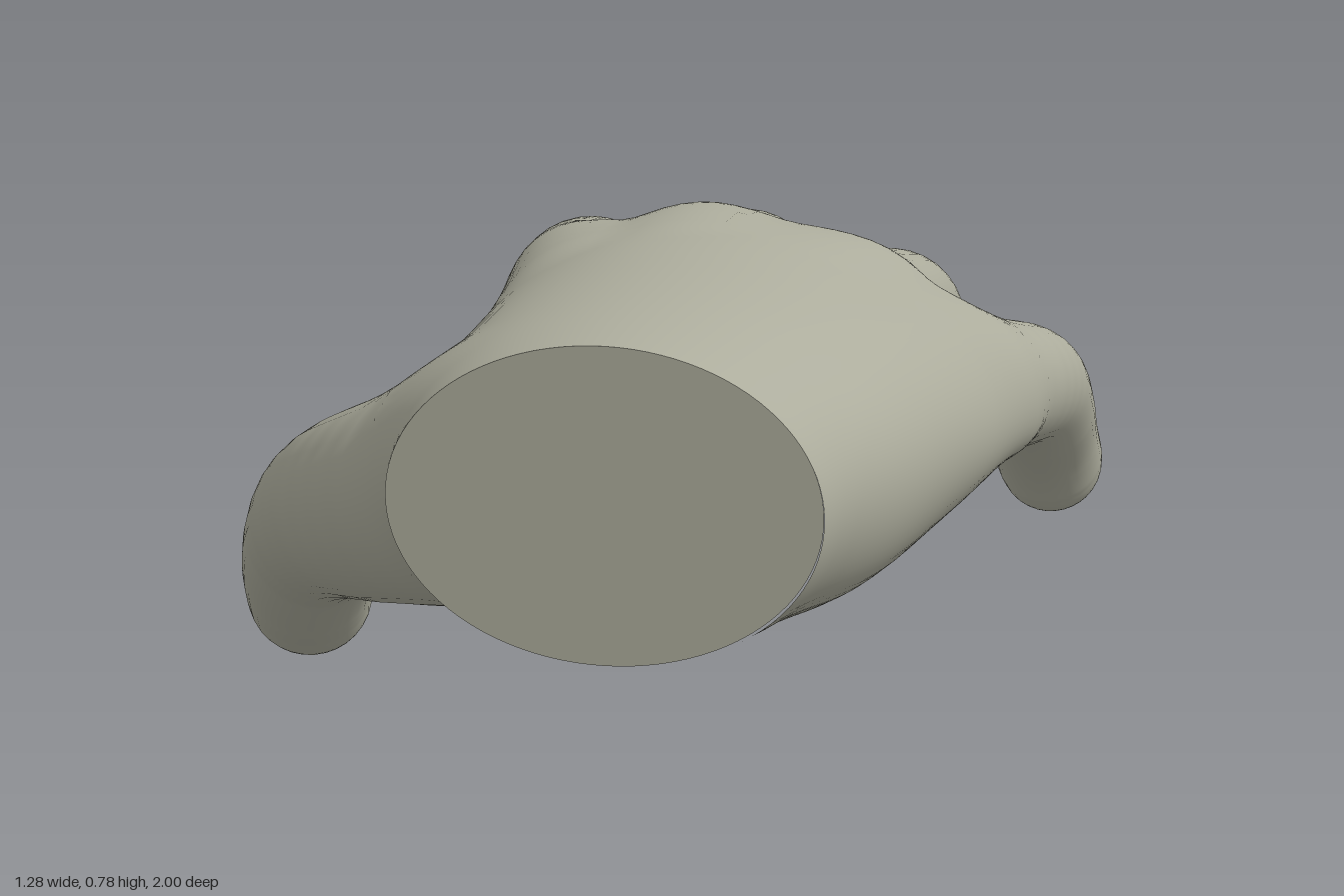
import * as THREE from 'three';

const skin = new THREE.MeshStandardMaterial({ color: 0xadad9d });

// Catmull-Rom through rows of numbers, t from 0 to 1
function spline(keys, t) {
  const last = keys.length - 1;
  const i = Math.min(Math.floor(t * last), last - 1);
  const f = t * last - i;
  const b = keys[i], c = keys[i + 1];
  const a = keys[i - 1] || b.map((v, k) => 2 * v - c[k]);
  const d = keys[i + 2] || c.map((v, k) => 2 * v - b[k]);
  return b.map((v, k) => v + 0.5 * f * (c[k] - a[k]
    + f * (2 * a[k] - 5 * v + 4 * c[k] - d[k]
    + f * (3 * (v - c[k]) + d[k] - a[k]))));
}

// Palm sections every 0.2 from z = 1: [centre x, half width, centre y, half height, arch]
const palmKeys = [
  [0.175, 0.360, 0.512, 0.262, 0],
  [0.165, 0.385, 0.518, 0.256, 0],
  [0.172, 0.402, 0.524, 0.249, 0.05],
  [0.178, 0.414, 0.535, 0.235, 0.14],
  [0.180, 0.422, 0.550, 0.216, 0.27],
  [0.180, 0.422, 0.560, 0.190, 0.38],
  [0.180, 0.420, 0.565, 0.125, 0.44],
];
const FRONT = -0.135, ROUND = 0.1;
const palmAt = (z) => spline(palmKeys, THREE.MathUtils.clamp((1 - z) / 1.2, 0, 1));

// Digits and mounds along keys [x, y, z, radius]; the last key is the tip
const digits = {
  indexFinger: [
    [-0.08, 0.60, 0.12, 0.095], [-0.128, 0.59, -0.06, 0.105], [-0.158, 0.572, -0.2, 0.1],
    [-0.185, 0.535, -0.4, 0.088], [-0.211, 0.465, -0.6, 0.088],
    [-0.23, 0.38, -0.75, 0.086], [-0.233, 0.295, -0.87, 0.083],
  ],
  middleFinger: [
    [0.09, 0.62, 0.12, 0.10], [0.08, 0.62, -0.06, 0.108], [0.074, 0.592, -0.2, 0.102],
    [0.065, 0.553, -0.4, 0.097], [0.05, 0.475, -0.6, 0.092],
    [0.03, 0.358, -0.79, 0.09], [0.02, 0.186, -0.978, 0.085],
  ],
  ringFinger: [
    [0.29, 0.58, 0.12, 0.10], [0.313, 0.575, -0.06, 0.108], [0.322, 0.547, -0.2, 0.104],
    [0.31, 0.496, -0.4, 0.099], [0.287, 0.405, -0.58, 0.09],
    [0.268, 0.305, -0.73, 0.086], [0.27, 0.183, -0.877, 0.083],
  ],
  littleFinger: [
    [0.46, 0.485, 0.12, 0.11], [0.496, 0.475, -0.04, 0.114], [0.526, 0.446, -0.18, 0.106],
    [0.538, 0.413, -0.32, 0.095], [0.522, 0.345, -0.46, 0.089],
    [0.5, 0.262, -0.59, 0.085], [0.492, 0.15, -0.706, 0.082],
  ],
  thumb: [
    [0.04, 0.475, 0.80, 0.17], [-0.11, 0.45, 0.71, 0.185], [-0.272, 0.39, 0.565, 0.165],
    [-0.4, 0.325, 0.4, 0.14], [-0.482, 0.245, 0.25, 0.117],
    [-0.53, 0.15, 0.12, 0.105], [-0.563, 0.037, -0.042, 0.094],
  ],
  thumbMound: [
    [0.02, 0.43, 0.80, 0.13], [-0.01, 0.385, 0.60, 0.152],
    [-0.1, 0.385, 0.42, 0.14], [-0.24, 0.41, 0.25, 0.08],
  ],
  heelMound: [
    [0.33, 0.48, 0.88, 0.17], [0.385, 0.457, 0.62, 0.18], [0.42, 0.46, 0.33, 0.165],
    [0.447, 0.472, 0.08, 0.14], [0.46, 0.48, -0.12, 0.09],
  ],
};

// Each one as a chain of tapering balls
const chains = Object.values(digits).map((keys) => {
  const tip = new THREE.Vector3(...keys[keys.length - 1]);
  return Array.from({ length: 61 }, (_, i) => {
    const [x, y, z, r] = spline(keys, i / 60);
    return [x, y, z, Math.min(r, tip.distanceTo(new THREE.Vector3(x, y, z)))];
  });
});

function chainDistance(chain, x, y, z) {
  let best = Infinity;
  for (let i = 0; i < chain.length - 1; i++) {
    const a = chain[i], b = chain[i + 1];
    const ux = b[0] - a[0], uy = b[1] - a[1], uz = b[2] - a[2];
    const px = x - a[0], py = y - a[1], pz = z - a[2];
    const h = Math.min(1, Math.max(0,
      (px * ux + py * uy + pz * uz) / (ux * ux + uy * uy + uz * uz)));
    const dx = px - h * ux, dy = py - h * uy, dz = pz - h * uz;
    best = Math.min(best, Math.sqrt(dx * dx + dy * dy + dz * dz) - a[3] - h * (b[3] - a[3]));
  }
  return best;
}

// Arched elliptical bar with a rounded knuckle end
function palmDistance(x, y, z) {
  const [cx, rx, cy, ry, arch] = palmAt(z);
  const u = (x - cx) / rx, v = (y - cy + arch * (x - 0.05) ** 2) / ry;
  const rho = Math.hypot(u, v) + 1e-6;
  const side = (rho - 1) * rho / (Math.hypot(u / rx, v / ry) + 1e-6) + ROUND;
  const end = FRONT - z + ROUND;
  return Math.min(Math.max(side, end), 0)
    + Math.hypot(Math.max(side, 0), Math.max(end, 0)) - ROUND;
}

const blend = (a, b, k) =>
  Math.min(a, b) - (Math.max(k - Math.abs(a - b), 0) ** 2) / (4 * k);

const skinDistance = (x, y, z) => blend(palmDistance(x, y, z),
  chains.map((c) => chainDistance(c, x, y, z)).reduce((a, b) => blend(a, b, 0.03)), 0.085);

// Draw a point onto the blended skin, and give the skin's direction there
function settle(p) {
  const n = new THREE.Vector3(), e = 0.004;
  for (let i = 0; i < 4; i++) {
    const d = skinDistance(p.x, p.y, p.z);
    n.set(skinDistance(p.x + e, p.y, p.z) - d, skinDistance(p.x, p.y + e, p.z) - d,
      skinDistance(p.x, p.y, p.z + e) - d).divideScalar(e);
    if (d < -0.06 || (i > 0 && Math.abs(d) < 0.0005)) break; // buried or settled
    p.addScaledVector(n, -d / Math.max(n.lengthSq(), 0.25));
  }
  return n.normalize();
}

// Closed rings of points joined into one surface, settled on the skin
function loft(name, rows, cols, ring) {
  const pos = [], nor = [], index = [];
  for (let i = 0; i <= rows; i++) {
    const point = ring(Math.sin((i / rows) * Math.PI / 2));
    for (let j = 0; j < cols; j++) {
      const p = point((j / cols) * Math.PI * 2);
      const n = settle(p);
      pos.push(p.x, p.y, Math.min(p.z, 1));
      nor.push(n.x, n.y, n.z);
      if (i === rows) continue;
      const a = i * cols + j, b = i * cols + (j + 1) % cols;
      index.push(a, b, a + cols, b, b + cols, a + cols);
    }
  }
  const geo = new THREE.BufferGeometry();
  geo.setAttribute('position', new THREE.Float32BufferAttribute(pos, 3));
  geo.setAttribute('normal', new THREE.Float32BufferAttribute(nor, 3));
  geo.setIndex(index);
  const mesh = new THREE.Mesh(geo, skin);
  mesh.name = name;
  return mesh;
}

// Rounded end: 0 at the very end, 1 once a full radius back
const dome = (d, r) => (d >= r ? 1 : Math.sqrt(Math.max(0, 1 - (1 - d / r) ** 2)));

function digit(name, keys) {
  const tip = new THREE.Vector3(...keys[keys.length - 1]);
  const at = (t) => new THREE.Vector3(...spline(keys, t).slice(0, 3));
  return loft(name, 60, 32, (t) => {
    const p = at(t);
    const T = at(Math.min(1, t + 0.01)).sub(at(Math.max(0, t - 0.01))).normalize();
    const B = T.clone().cross(new THREE.Vector3(1, 0, 0)).normalize();
    const N = B.clone().cross(T);
    const full = spline(keys, t)[3];
    const r = full * dome(p.distanceTo(tip), full);
    return (a) => p.clone().addScaledVector(N, r * Math.cos(a))
      .addScaledVector(B, r * Math.sin(a));
  });
}

function palm() {
  return loft('palm', 80, 96, (t) => {
    const z = 1 - (1 - FRONT) * t;
    const [cx, rx, cy, ry, arch] = palmAt(z);
    const inset = ROUND * (1 - dome(z - FRONT, ROUND));
    return (a) => {
      const x = cx + (rx - inset) * Math.cos(a);
      return new THREE.Vector3(x, cy - (ry - inset) * Math.sin(a) - arch * (x - 0.05) ** 2, z);
    };
  });
}

export function createModel() {
  const hand = new THREE.Group();
  hand.name = 'hand';
  hand.add(palm());
  for (const [name, keys] of Object.entries(digits)) hand.add(digit(name, keys));

  // Flat cut at the wrist
  const cut = new THREE.Mesh(new THREE.CircleGeometry(1, 96), skin);
  cut.name = 'wristCut';
  cut.scale.set(0.36, 0.262, 1);
  cut.position.set(0.175, 0.512, 1);
  hand.add(cut);
  return hand;
}
